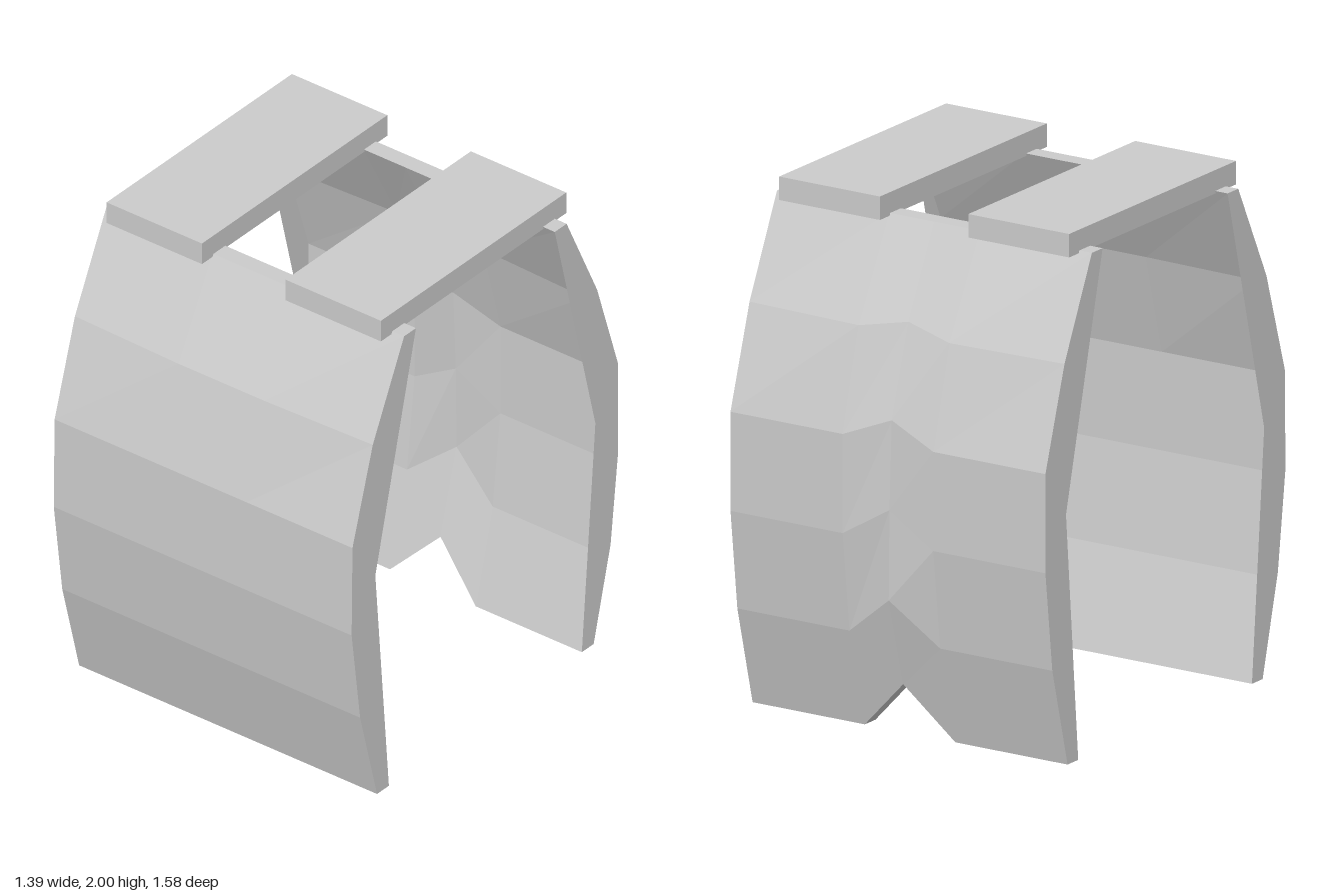
import * as THREE from 'three';

const material = new THREE.MeshStandardMaterial({ color: 0xcccccc, flatShading: true });
const capMaterial = new THREE.MeshStandardMaterial({ color: 0xcccccc, flatShading: true, side: THREE.DoubleSide });
const WIDTH = 0.695;
const COLUMNS = [-WIDTH, -0.2, 0, 0.2, WIDTH];
const TOP = 1.92;
const THICKNESS = 0.07;

// Curved shell facing +z. Each row: [height, z at the edges, z near the middle, z on the centre line].
// lift raises the centre line at the hem, fading out towards the top.
function shell(rows, lift) {
  const positions = [];
  const point = (i, j, outer) => {
    const ring = 2 - Math.abs(j - 2); // 0 edge, 1 near middle, 2 centre
    const y = rows[i][0] + (ring === 2 ? lift * (1 - rows[i][0] / TOP) : 0);
    return [COLUMNS[j], y, rows[i][1 + ring] - (outer ? 0 : THICKNESS)];
  };
  const quad = (a, b, c, d) => positions.push(...a, ...b, ...c, ...a, ...c, ...d);
  const n = rows.length - 1;
  const m = COLUMNS.length - 1;

  // Outer and inner faces
  for (let i = 0; i < n; i++) {
    for (let j = 0; j < m; j++) {
      quad(point(i, j, true), point(i, j + 1, true), point(i + 1, j + 1, true), point(i + 1, j, true));
      quad(point(i + 1, j, false), point(i + 1, j + 1, false), point(i, j + 1, false), point(i, j, false));
    }
  }
  // Hem and top edge
  for (let j = 0; j < m; j++) {
    quad(point(0, j, true), point(0, j, false), point(0, j + 1, false), point(0, j + 1, true));
    quad(point(n, j + 1, true), point(n, j + 1, false), point(n, j, false), point(n, j, true));
  }

  const geometry = new THREE.BufferGeometry();
  geometry.setAttribute('position', new THREE.Float32BufferAttribute(positions, 3));
  geometry.computeVertexNormals();
  return new THREE.Mesh(geometry, material);
}

// Flat side wall, wider than the shell is thick, with one bend on its inner edge
function sideWall(rows, x) {
  const outline = rows.map(([y, z]) => new THREE.Vector2(-z, y));
  outline.push(new THREE.Vector2(-0.41, TOP), new THREE.Vector2(-0.65, 0.96), new THREE.Vector2(-0.57, 0));
  const wall = new THREE.Mesh(new THREE.ShapeGeometry(new THREE.Shape(outline)), capMaterial);
  wall.rotation.y = Math.PI / 2;
  wall.position.x = x;
  wall.name = x > 0 ? 'leftSideWall' : 'rightSideWall';
  return wall;
}

function plate(name, rows, lift) {
  const group = new THREE.Group();
  group.name = name;
  const body = shell(rows, lift);
  body.name = name + 'Shell';
  group.add(body, sideWall(rows, WIDTH), sideWall(rows, -WIDTH));
  return group;
}

export function createModel() {
  const model = new THREE.Group();
  model.name = 'bodyArmour';

  // Plain chest plate
  model.add(plate('chestPlate', [
    [0, 0.64, 0.64, 0.64],
    [0.385, 0.74, 0.74, 0.74],
    [0.77, 0.79, 0.79, 0.79],
    [1.15, 0.785, 0.785, 0.785],
    [1.54, 0.665, 0.68, 0.68],
    [TOP, 0.48, 0.48, 0.48],
  ], 0));

  // Back plate with a notched hem and a spine crease
  const back = plate('backPlate', [
    [0, 0.64, 0.64, 0.685],
    [0.385, 0.74, 0.74, 0.78],
    [0.77, 0.785, 0.785, 0.775],
    [1.15, 0.785, 0.785, 0.76],
    [1.54, 0.66, 0.68, 0.65],
    [TOP, 0.48, 0.48, 0.48],
  ], 0.2);
  back.rotation.y = Math.PI;
  model.add(back);

  // Shoulder straps
  for (const side of [1, -1]) {
    const strap = new THREE.Mesh(new THREE.BoxGeometry(0.445, 0.09, 1.095), material);
    strap.name = side > 0 ? 'leftShoulderStrap' : 'rightShoulderStrap';
    strap.position.set(side * 0.4175, 1.955, 0);
    model.add(strap);
  }
  return model;
}
